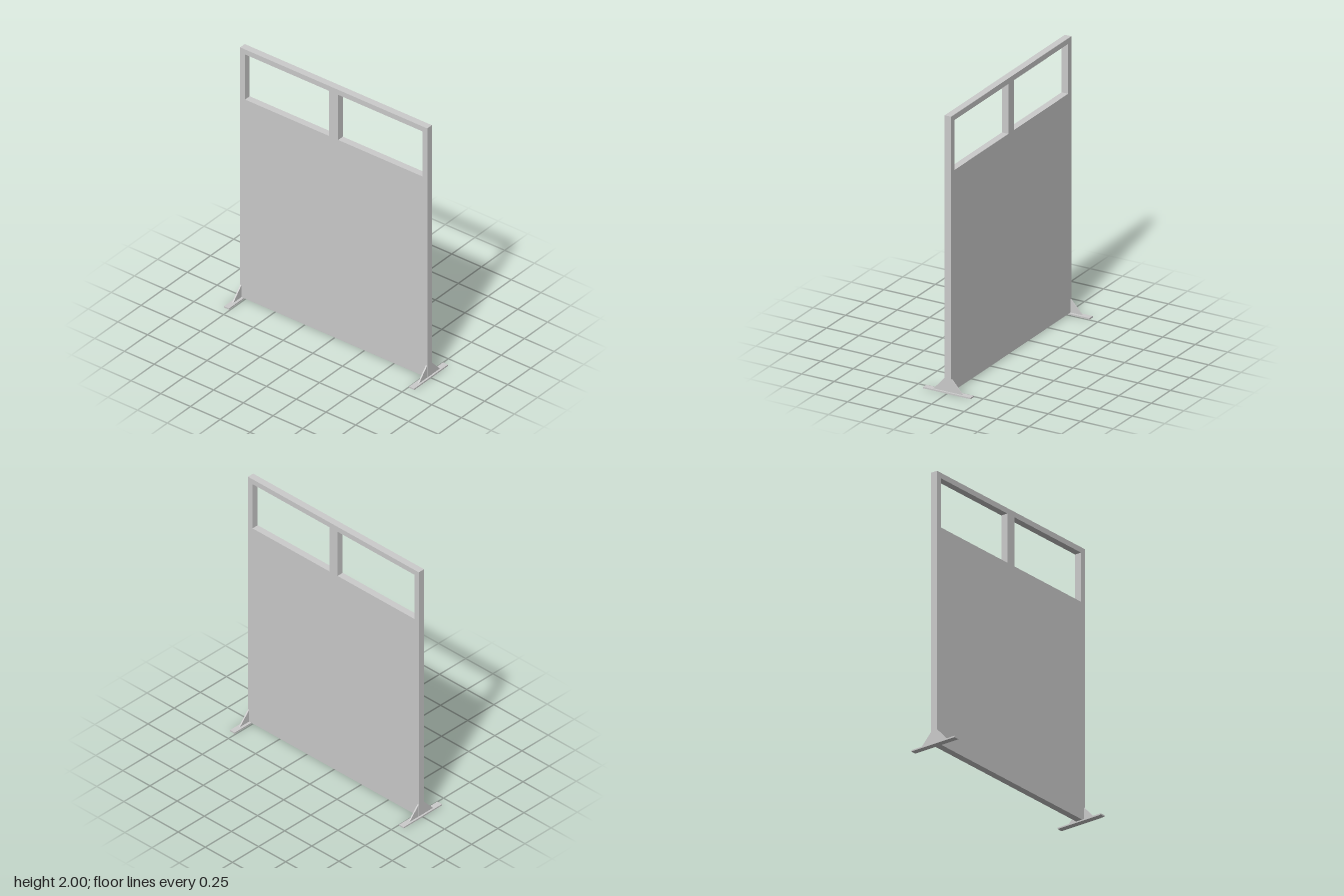
import * as THREE from 'three';

const material = new THREE.MeshStandardMaterial({ color: 0xcccccc, flatShading: true });

// Closed shape or hole from corner points
function outline(points, Kind = THREE.Shape) {
  return new Kind(points.map(([x, y]) => new THREE.Vector2(x, y)));
}

// Extrusion centred on its own thickness
function plate(name, shape, depth) {
  const geometry = new THREE.ExtrudeGeometry(shape, { depth, bevelEnabled: false });
  geometry.translate(0, 0, -depth / 2);
  const mesh = new THREE.Mesh(geometry, material);
  mesh.name = name;
  return mesh;
}

const rect = (x0, y0, x1, y1) => [[x0, y0], [x1, y0], [x1, y1], [x0, y1]];

export function createModel() {
  const group = new THREE.Group();
  group.name = 'partitionScreen';

  const halfLength = 0.787, thickness = 0.05, footHeight = 0.01;

  // Upright panel with two window openings, running along z
  const panelShape = outline(rect(-halfLength, footHeight, halfLength, 2));
  for (const [a, b] of [[-0.745, -0.038], [0.038, 0.745]]) {
    panelShape.holes.push(outline(rect(a, 1.6, b, 1.96), THREE.Path));
  }
  const panel = plate('panel', panelShape, thickness);
  panel.rotation.y = Math.PI / 2;
  group.add(panel);

  // A flat foot with two triangular gussets at each end
  for (const end of [-1, 1]) {
    const stand = new THREE.Group();
    stand.name = end > 0 ? 'frontStand' : 'backStand';

    const foot = new THREE.Mesh(new THREE.BoxGeometry(0.365, footHeight, 0.043), material);
    foot.name = 'foot';
    foot.position.set(0, footHeight / 2, end * 0.7785);
    stand.add(foot);

    for (const side of [-1, 1]) {
      const inner = side * thickness / 2;
      const gusset = plate(side > 0 ? 'leftGusset' : 'rightGusset', outline([
        [inner, footHeight], [side * 0.112, footHeight], [inner, 0.105],
      ]), 0.01);
      gusset.position.z = end * 0.781;
      stand.add(gusset);
    }
    group.add(stand);
  }
  return group;
}
